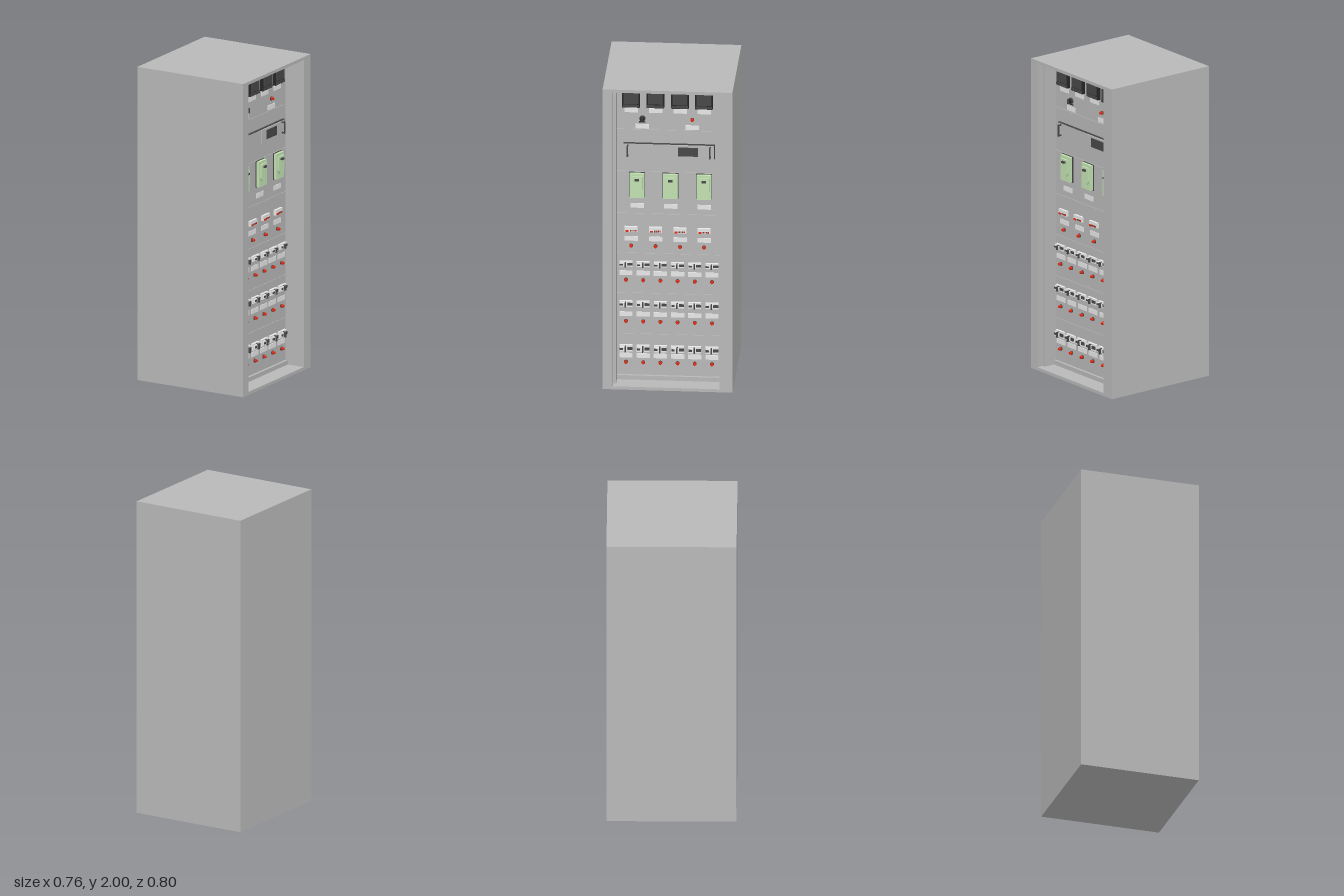
import * as THREE from 'three';

const mat = (name, color) => {
  const m = new THREE.MeshStandardMaterial({ color });
  m.name = name;
  return m;
};

export function createModel() {
  const root = new THREE.Group();
  root.name = 'switchCabinet';
  const grey = mat('cabinetGrey', 0xb8b8b8);
  const white = mat('labelWhite', 0xf2f2f2);
  const dark = mat('darkGrey', 0x484848);
  const black = mat('black', 0x262626);
  const green = mat('paleGreen', 0xc2e2b2);
  const red = mat('signalRed', 0xee2a10);

  const FACE = 0.25; // x of the recessed instrument panel

  const add = (name, geo, material, x, y, z, parent = root) => {
    const m = new THREE.Mesh(geo, material);
    m.name = name;
    m.position.set(x, y, z);
    parent.add(m);
    return m;
  };
  // Box given by its limits on each axis
  const block = (name, material, x0, x1, y0, y1, z0, z1) =>
    add(name, new THREE.BoxGeometry(x1 - x0, y1 - y0, z1 - z0), material,
      (x0 + x1) / 2, (y0 + y1) / 2, (z0 + z1) / 2);
  // Box standing on the panel, from height "from" to "to" above its face
  const fit = (name, material, y, z, h, w, to, from = 0) =>
    block(name, material, FACE + from, FACE + to, y - h / 2, y + h / 2, z - w / 2, z + w / 2);
  // Round part with its axis out of the panel
  const disc = (name, material, y, z, r, to, from = 0, r2 = r) =>
    add(name, new THREE.CylinderGeometry(r2, r, to - from, 16).rotateZ(-Math.PI / 2), material,
      FACE + (from + to) / 2, y, z);
  const label = (y, z) => fit('label', white, y, z, 0.03, 0.083, 0.004);
  const lamp = (y, z) => {
    disc('lampCollar', dark, y, z, 0.012, 0.006);
    disc('lamp', red, y, z, 0.0105, 0.02, 0.006, 0.008);
  };

  // Cabinet body, top and base plates, side posts
  block('cabinetBody', grey, -0.38, FACE - 0.01, 0.02, 1.98, -0.4, 0.4);
  block('topPlate', grey, -0.38, 0.38, 1.98, 2, -0.4, 0.4);
  block('basePlate', grey, -0.38, 0.38, 0, 0.02, -0.4, 0.4);
  block('rearPost', grey, FACE - 0.01, 0.38, 0.02, 1.98, -0.4, -0.32);
  block('frontPost', grey, FACE - 0.01, 0.335, 0.02, 1.98, 0.32, 0.4);
  block('frontPostLip', grey, 0.335, 0.38, 0.02, 1.98, 0.338, 0.4);
  block('upperRail', grey, FACE - 0.01, 0.265, 1.958, 1.98, -0.32, 0.32);
  block('lowerRail', grey, FACE - 0.01, 0.265, 0.02, 0.048, -0.32, 0.32);

  // Instrument panel in stacked sections with fine gaps
  const seams = [0.048, 0.322, 0.594, 0.86, 1.125, 1.405, 1.685, 1.958];
  for (let i = 0; i < seams.length - 1; i++) {
    block('panelSection', grey, FACE - 0.01, FACE, seams[i] + 0.001, seams[i + 1] - 0.001, -0.32, 0.32);
  }

  // Four meters with a lower cover strip
  const four = [0.233, 0.083, -0.068, -0.216];
  for (const z of four) {
    fit('meterCase', black, 1.892, z, 0.108, 0.108, 0.022);
    fit('meterGlass', dark, 1.902, z, 0.076, 0.092, 0.026, 0.022);
    fit('meterCover', dark, 1.85, z, 0.016, 0.1, 0.028, 0.022);
    label(1.814, z);
  }

  // Selector switch and upper lamp
  disc('selectorBase', dark, 1.76, 0.164, 0.019, 0.01);
  disc('selectorKnob', black, 1.76, 0.164, 0.013, 0.024, 0.01);
  fit('selectorGrip', dark, 1.76, 0.164, 0.032, 0.007, 0.034, 0.02);
  fit('selectorStop', black, 1.737, 0.164, 0.005, 0.04, 0.006);
  label(1.707, 0.164);
  lamp(1.76, -0.143);
  label(1.707, -0.143);

  // Slide-in unit with a display and two handles
  fit('slideInUnit', grey, 1.55, 0, 0.09, 0.56, 0.012);
  fit('unitTopEdge', dark, 1.596, 0, 0.004, 0.56, 0.014);
  fit('unitSideEdge', dark, 1.551, -0.28, 0.094, 0.004, 0.014);
  fit('displayBezel', grey, 1.55, -0.118, 0.084, 0.228, 0.02, 0.012);
  fit('display', dark, 1.551, -0.119, 0.058, 0.122, 0.023, 0.02);
  for (const z of [0.254, -0.254]) {
    fit('unitHandle', dark, 1.55, z, 0.076, 0.008, 0.036, 0.028);
    for (const s of [-1, 1]) fit('handleFoot', dark, 1.55 + s * 0.033, z, 0.008, 0.008, 0.028, 0.012);
  }

  // Large green breakers with a raised U-shaped field
  const u = new THREE.Shape();
  u.moveTo(-0.033, 0.055);
  u.lineTo(-0.033, -0.025);
  u.absarc(0, -0.025, 0.033, Math.PI, Math.PI * 2, false);
  u.lineTo(0.033, 0.055);
  u.closePath();
  const uGeo = new THREE.ExtrudeGeometry(u, { depth: 0.01, bevelEnabled: false, curveSegments: 10 })
    .rotateY(Math.PI / 2);
  for (const z of [0.196, -0.01, -0.217]) {
    fit('breakerBacking', dark, 1.317, z, 0.168, 0.098, 0.006);
    fit('breakerBody', green, 1.317, z, 0.162, 0.09, 0.024, 0.006);
    add('breakerField', uGeo, green, FACE + 0.024, 1.325, z);
    fit('breakerToggle', dark, 1.362, z, 0.012, 0.026, 0.046, 0.034);
    label(1.178, z);
  }

  // Four small counters with a red key and dark digits
  for (const z of four) {
    fit('counterBody', white, 1.022, z, 0.034, 0.08, 0.016);
    fit('counterKey', red, 1.012, z + 0.024, 0.01, 0.018, 0.022, 0.016);
    for (let i = 0; i < 4; i++) {
      fit('counterDigit', i % 2 ? red : dark, 1.014, z + 0.004 - i * 0.011, 0.01, 0.007, 0.019, 0.016);
    }
    label(0.957, z);
    lamp(0.91, z);
  }

  // Three rows of six miniature breakers
  const rows = [
    { y: 0.79, h: 0.034, tag: 0.727, lampY: 0.681 },
    { y: 0.524, h: 0.038, tag: 0.453, lampY: 0.406 },
    { y: 0.228, h: 0.044, tag: 0.177, lampY: 0.133 },
  ];
  for (const { y, h, tag, lampY } of rows) {
    for (let i = 0; i < 6; i++) {
      const z = 0.265 - i * 0.106;
      fit('switchBody', white, y, z, h, 0.08, 0.016);
      fit('switchCore', white, y, z + 0.014, h * 0.6, 0.046, 0.026, 0.016);
      fit('switchSlot', dark, y, z - 0.024, h * 0.45, 0.032, 0.021, 0.016);
      fit('switchSlit', dark, y, z + 0.027, h * 0.3, 0.02, 0.029, 0.026);
      fit('switchLever', dark, y, z + 0.002, h * 0.8, 0.008, 0.038, 0.016);
      label(tag, z);
      lamp(lampY, z);
    }
  }
  return root;
}
